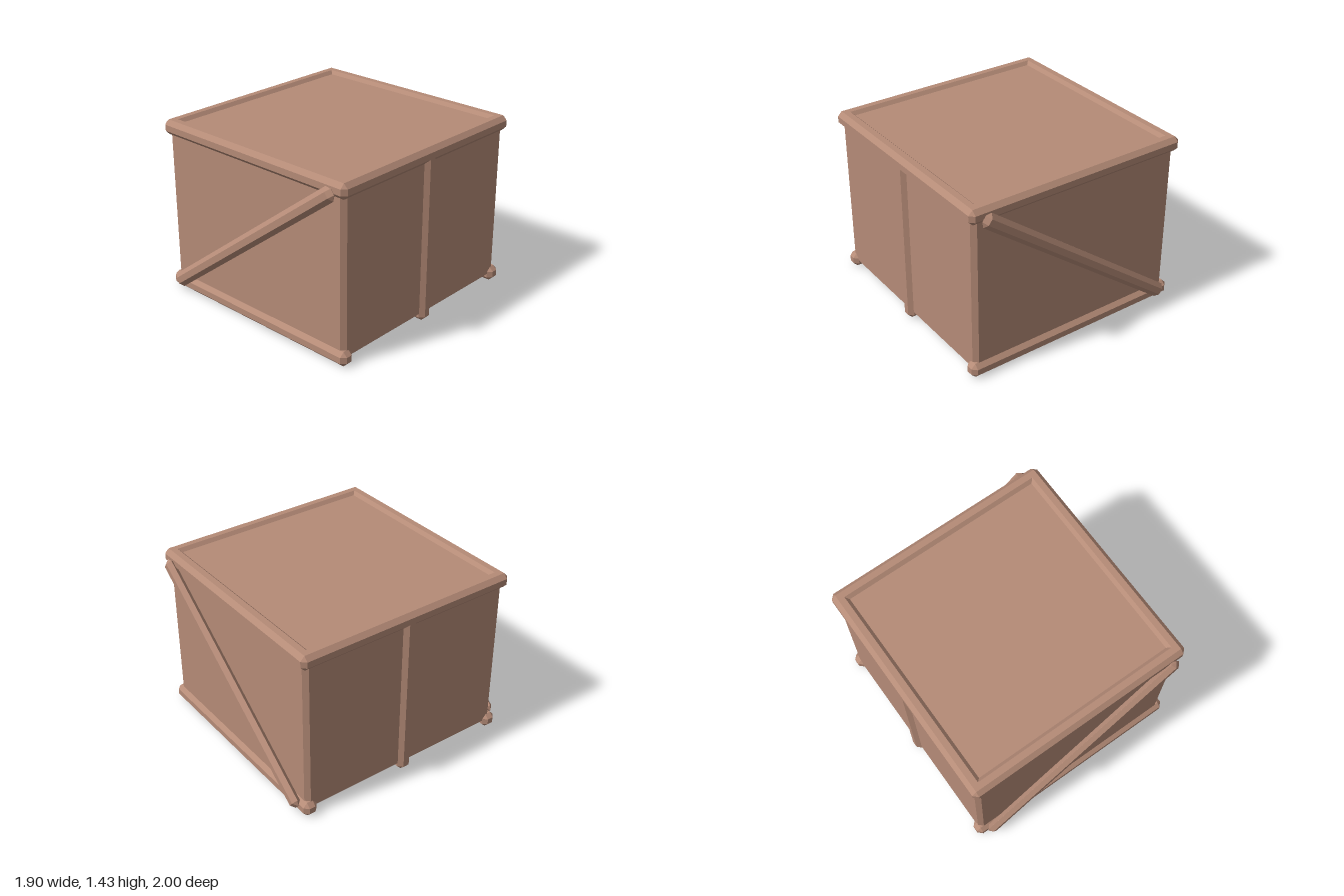
import * as THREE from 'three';
import { ConvexGeometry } from 'three/addons/geometries/ConvexGeometry.js';

const WIDTH = 0.95, HEIGHT = 1.43, BEAM = 0.12, CHAMFER = 0.035;

// Box whose edges and corners are all cut by the same chamfer
function chamferBox(w, h, d, c = CHAMFER) {
  const points = [];
  const half = new THREE.Vector3(w / 2, h / 2, d / 2);
  for (const sx of [-1, 1]) for (const sy of [-1, 1]) for (const sz of [-1, 1]) {
    for (let axis = 0; axis < 3; axis++) {
      const p = half.clone().subScalar(c);
      p.setComponent(axis, half.getComponent(axis));
      points.push(p.multiply(new THREE.Vector3(sx, sy, sz)));
    }
  }
  return new ConvexGeometry(points);
}

export function createModel() {
  const crate = new THREE.Group();
  crate.name = 'crate';
  const wood = new THREE.MeshStandardMaterial({ color: 0xb58b77 });
  wood.name = 'wood';

  function add(name, size, position) {
    const mesh = new THREE.Mesh(chamferBox(...size), wood);
    mesh.name = name;
    mesh.position.set(...position);
    crate.add(mesh);
    return mesh;
  }

  // Solid body inside the frame
  add('body', [1.834, 1.37, 1.834], [0, 0.718, 0]);

  const offset = WIDTH - BEAM / 2;
  const topY = HEIGHT - BEAM / 2;
  for (const [side, s] of [['A', 1], ['B', -1]]) {
    // Horizontal beams on the front and back
    add('bottomBeam' + side, [2 * WIDTH, BEAM, BEAM], [0, BEAM / 2, s * offset]);
    add('topBeam' + side, [2 * WIDTH, BEAM, BEAM], [0, topY, s * offset]);

    // Top beam and upright in the middle of each side
    add('topSideBeam' + side, [BEAM, BEAM, 2 * WIDTH], [s * offset, topY, 0]);
    add('sidePost' + side, [BEAM, 1.4, BEAM], [s * offset, 0.7, 0]);

    // Diagonal brace, standing just clear of the body
    const brace = add('diagonalBrace' + side, [2.15, BEAM, 0.0704], [0, 0.715, s * 0.965]);
    brace.rotation.z = THREE.MathUtils.degToRad(37.2);
  }

  return crate;
}
